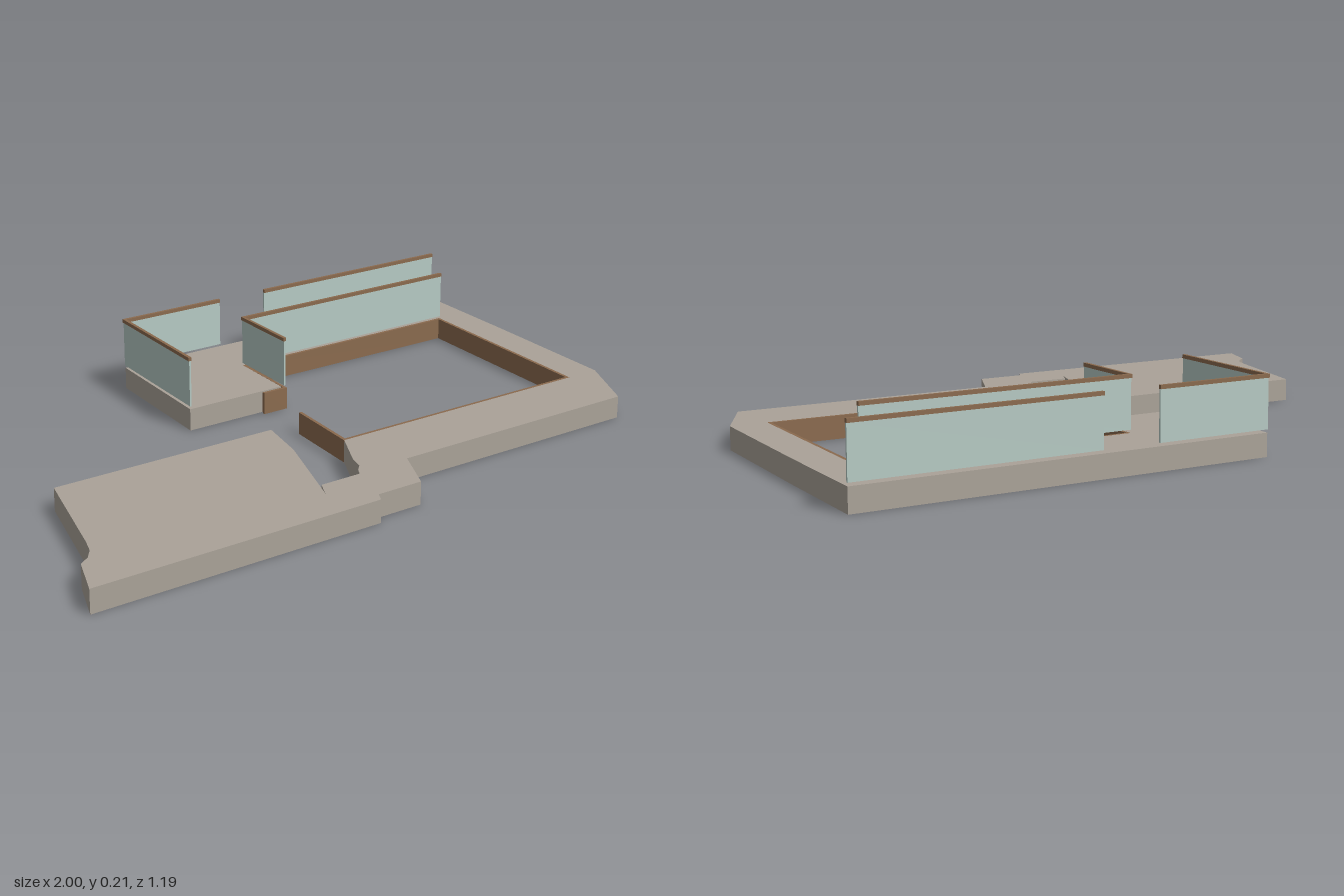
import * as THREE from 'three';

const SLAB_H = 0.062, GLASS_Y = 0.07, GLASS_TOP = 0.2, CAP_TOP = 0.21;

const stone = new THREE.MeshStandardMaterial({ color: 0xaaa298 });
stone.name = 'stone';
const wood = new THREE.MeshStandardMaterial({ color: 0x8a6a4e });
wood.name = 'wood';
const glass = new THREE.MeshStandardMaterial({ color: 0xb5c9c3 });
glass.name = 'paleGlass';

// Vertical prism over a plan outline given as [x, z] points
function prism(name, plan, y0, y1, material) {
  const shape = new THREE.Shape(plan.map(([x, z]) => new THREE.Vector2(x, -z)));
  const geo = new THREE.ExtrudeGeometry(shape, { depth: y1 - y0, bevelEnabled: false });
  geo.rotateX(-Math.PI / 2);
  geo.translate(0, y0, 0);
  const mesh = new THREE.Mesh(geo, material);
  mesh.name = name;
  return mesh;
}

// Path moved sideways by d (positive is to the left of travel), with mitred corners
function offsetPath(path, d) {
  const normals = path.slice(1).map(([x, z], i) => {
    const dx = x - path[i][0], dz = z - path[i][1], l = Math.hypot(dx, dz);
    return [dz / l, -dx / l];
  });
  return path.map(([x, z], i) => {
    const a = normals[Math.max(i - 1, 0)], b = normals[Math.min(i, normals.length - 1)];
    const k = d / (1 + a[0] * b[0] + a[1] * b[1]);
    return [x + (a[0] + b[0]) * k, z + (a[1] + b[1]) * k];
  });
}

// Thin wall following a path, between two sideways offsets
function wall(name, path, d0, d1, y0, y1, material) {
  const plan = [...offsetPath(path, d0), ...offsetPath(path, d1).reverse()];
  return prism(name, plan, y0, y1, material);
}

export function createModel() {
  const model = new THREE.Group();
  model.name = 'terraceWithCourtyard';

  // Floor slab: terrace on the left, path ring around the open courtyard
  model.add(prism('floorSlab', [
    [-0.165, -0.595], [0.996, -0.595], [0.96, -0.24], [0.907, 0.235], [0.8, 0.43],
    [0.035, 0.43], [-0.035, 0.567], [-0.17, 0.567], [-0.185, 0.595],
    [-1, 0.595], [-0.95, 0.475], [-0.92, 0.455], [-0.897, 0.425], [-0.88, 0.38],
    [-0.78, 0.06], [-0.122, 0.06], [-0.16, 0.21], [-0.27, 0.485], [-0.245, 0.437],
    [-0.125, 0.437], [-0.112, 0.415], [-0.092, 0.395], [-0.08, 0.355], [-0.014, 0.235],
    [0.805, 0.235], [0.875, -0.41], [0.12, -0.41], [0.1, -0.197], [-0.207, -0.197],
  ], 0, SLAB_H, stone));

  // Wooden edging lining the courtyard, with free ends at its opening
  model.add(wall('courtyardEdging', [
    [0.015, 0], [-0.015, 0.235], [0.805, 0.235], [0.875, -0.41],
    [0.12, -0.41], [0.1, -0.188], [0.03, -0.188],
  ], 0, 0.009, 0, SLAB_H, wood));

  // Glass railings with wooden handrails
  const railings = {
    courtyardRailing: [[0.872, -0.407], [0.12, -0.407], [0.101, -0.18]],
    cornerRailing: [[0.165, -0.593], [-0.165, -0.593], [-0.205, -0.197]],
    backRailing: [[0.996, -0.593], [0.328, -0.593]],
  };
  for (const [name, path] of Object.entries(railings)) {
    const railing = new THREE.Group();
    railing.name = name;
    railing.add(
      wall('glassPanel', path, -0.002, 0.003, GLASS_Y, GLASS_TOP, glass),
      wall('handrail', path, -0.004, 0.005, GLASS_TOP, CAP_TOP, wood),
    );
    model.add(railing);
  }
  return model;
}
